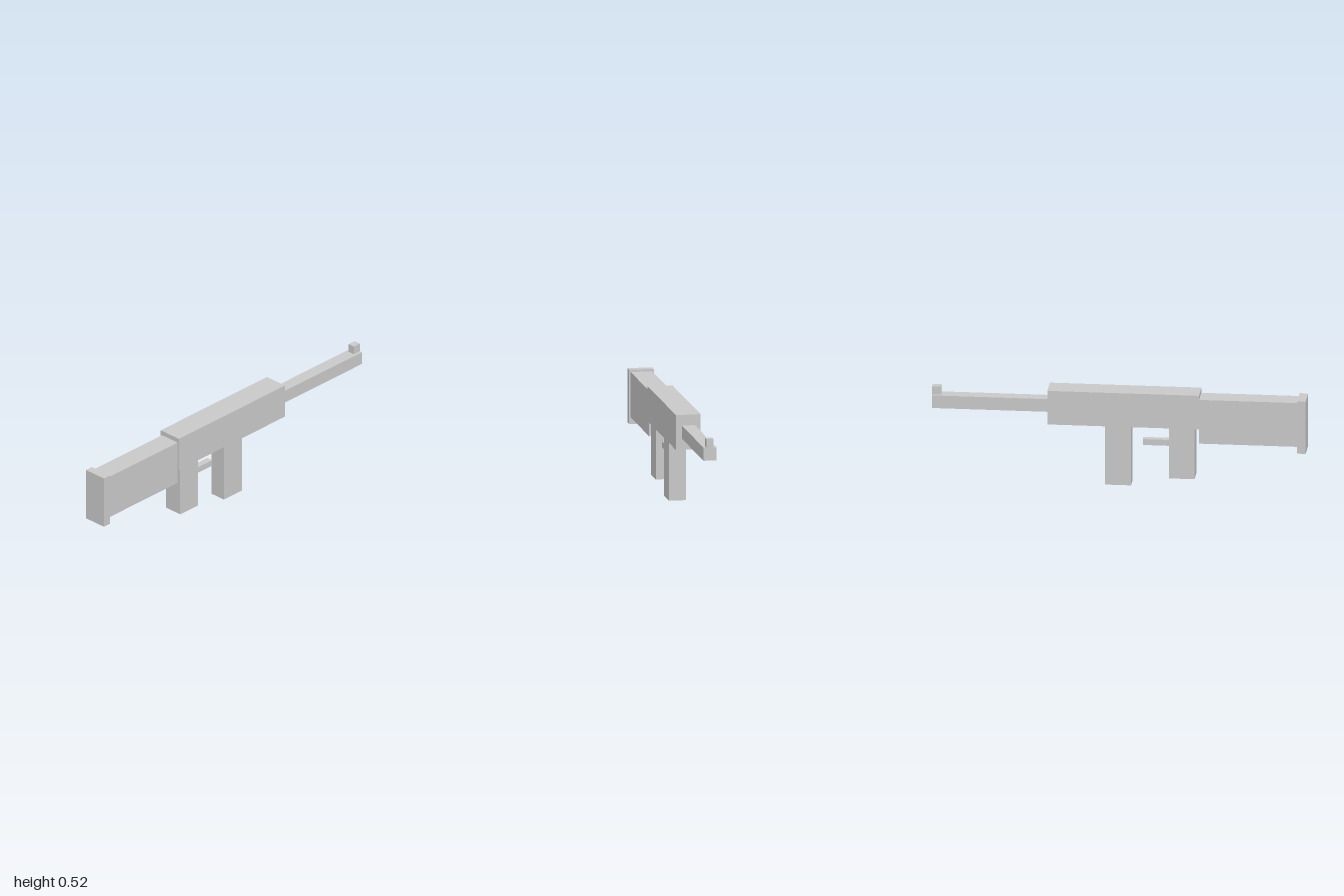
import * as THREE from 'three';

export function createModel() {
  const model = new THREE.Group();
  model.name = 'blockyToy';

  const grey = new THREE.MeshStandardMaterial({ color: 0xc8c8c8 });
  grey.name = 'plain grey';

  // Box from its x and y limits, centred on z with the given half depth
  function block(name, x0, x1, y0, y1, halfDepth) {
    const mesh = new THREE.Mesh(new THREE.BoxGeometry(x1 - x0, y1 - y0, halfDepth * 2), grey);
    mesh.name = name;
    mesh.position.set((x0 + x1) / 2, (y0 + y1) / 2, 0);
    model.add(mesh);
  }

  // Rear: end plate and shoulder stock
  block('buttPlate', -1, -0.955, 0.217, 0.511, 0.067);
  block('stock', -0.955, -0.43, 0.252, 0.498, 0.058);

  // Middle: body with the parts hanging below it
  block('body', -0.43, 0.38, 0.335, 0.524, 0.067);
  block('grip', -0.405, -0.268, 0.049, 0.335, 0.053);
  block('trigger', -0.268, -0.125, 0.22, 0.253, 0.018);
  block('magazine', -0.065, 0.075, 0, 0.335, 0.046);

  // Front: square barrel with its sight
  block('barrel', 0.38, 1, 0.395, 0.466, 0.035);
  block('frontSight', 0.954, 1, 0.466, 0.512, 0.019);

  return model;
}
